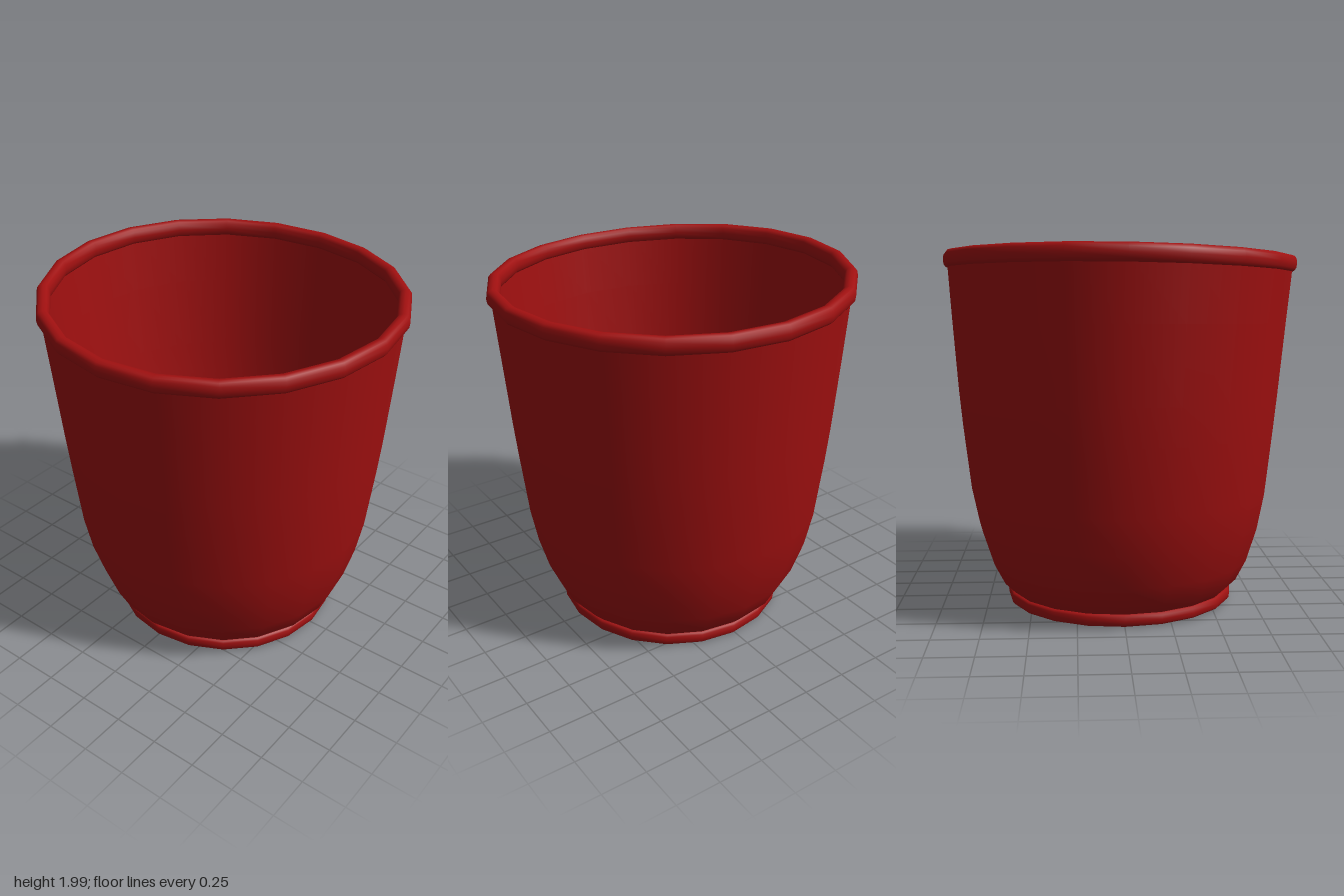
import * as THREE from 'three';

const SEGMENTS = 20;

export function createModel() {
  const group = new THREE.Group();
  const material = new THREE.MeshStandardMaterial({ color: 0xa01010 });

  // Hand-made wobble: mouth is tilted and slightly saddle-shaped, foot sits a little askew
  function wobble(geometry) {
    const pos = geometry.attributes.position;
    for (let i = 0; i < pos.count; i++) {
      const x = pos.getX(i), y = pos.getY(i), z = pos.getZ(i);
      const top = Math.pow(Math.max(0, y) / 1.92, 3);
      const base = Math.max(0, 1 - y / 0.5);
      const middle = Math.sin(Math.PI * Math.min(1, y / 1.92));
      const lift = top * (0.016 * x - 0.018 * z + 0.01 * (z * z - x * x))
        + base * (-0.01 * x + 0.006 * (x * x + z * z));
      pos.setXYZ(i, x + 0.01 * middle, y + lift, z + 0.012 * base);
    }
    return geometry;
  }

  function turned(name, profile) {
    const points = profile.map(([r, y]) => new THREE.Vector2(r, y));
    const mesh = new THREE.Mesh(wobble(new THREE.LatheGeometry(points, SEGMENTS)), material);
    mesh.name = name;
    group.add(mesh);
  }

  // Closed oval section for the rolled rim and the foot ring
  const oval = (r, y, rx, ry, power = 1) => Array.from({ length: 13 }, (_, i) => {
    const a = (i / 12) * Math.PI * 2 - Math.PI / 2;
    const soft = (v) => Math.sign(v) * Math.pow(Math.abs(v), power);
    return [r + rx * soft(Math.cos(a)), y + ry * soft(Math.sin(a))];
  });

  const wall = [
    [0.625, 0.08], [0.68, 0.135], [0.738, 0.25], [0.797, 0.44], [0.837, 0.64],
    [0.878, 1.0], [0.898, 1.2], [0.932, 1.6], [0.957, 1.9],
  ];
  turned('outerWall', wall);
  turned('innerWall', wall.map(([r, y]) => [r - 0.02, y + 0.005]).reverse());

  turned('rim', oval(0.945, 1.924, 0.036, 0.046, 0.8));
  turned('footRing', oval(0.615, 0.046, 0.028, 0.034, 0.7));

  // Inside floor faces up, underside faces down
  turned('floor', [[0.61, 0.078], [0.595, 0.072], [0, 0.072]]);
  turned('underside', [[0, 0.014], [0.615, 0.014]]);

  return group;
}
